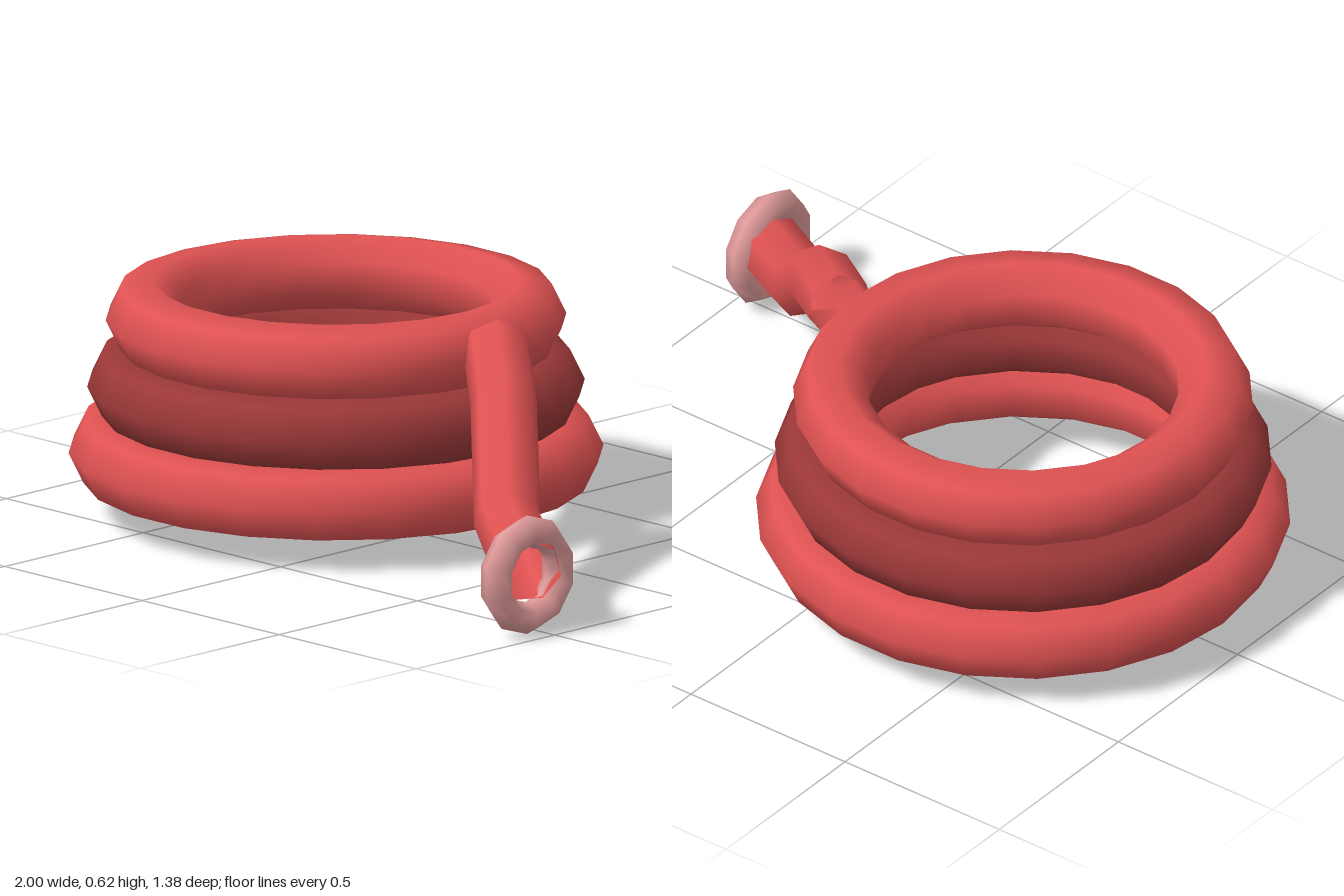
import * as THREE from 'three';

const red = new THREE.MeshStandardMaterial({ name: 'red', color: 0xe05252, side: THREE.DoubleSide });
const darkRed = new THREE.MeshStandardMaterial({ name: 'darkRed', color: 0x9c3838 });
const pink = new THREE.MeshStandardMaterial({ name: 'pink', color: 0xe09a9a });

export function createModel() {
  const group = new THREE.Group();
  const add = (name, geometry, material, x, y, z) => {
    const mesh = new THREE.Mesh(geometry, material);
    mesh.name = name;
    mesh.position.set(x, y, z);
    group.add(mesh);
  };

  // Stacked hose loops, narrowing upwards
  const loops = [
    ['bottomLoop', 0.588, 0.165, red],
    ['middleLoop', 0.54, 0.34, darkRed],
    ['topLoop', 0.4925, 0.515, red],
  ];
  for (const [name, radius, y, material] of loops) {
    add(name, new THREE.TorusGeometry(radius, 0.1, 7, 22).rotateX(-Math.PI / 2), material, -0.3125, y, -0.01);
  }

  // Loose hose end: one straight piece between each pair of points
  const path = new THREE.CatmullRomCurve3([
    new THREE.Vector3(0.285, 0.54, 0),
    new THREE.Vector3(0.467, 0.468, 0.155),
    new THREE.Vector3(0.702, 0.232, 0.375),
    new THREE.Vector3(0.95, 0.168, 0.545),
  ]);
  path.getPointAt = (t, target) => path.getPoint(t, target);
  path.getTangentAt = (t, target) => path.getTangent(t, target);
  add('hoseEnd', new THREE.TubeGeometry(path, 3, 0.088, 7), red, 0, 0, 0);

  // Ring around the open mouth
  const ring = new THREE.TorusGeometry(0.115, 0.042, 6, 10).rotateZ(Math.PI / 2).rotateY(Math.PI / 2);
  add('mouthRing', ring, pink, 0.943, 0.157, 0.543);

  return group;
}
